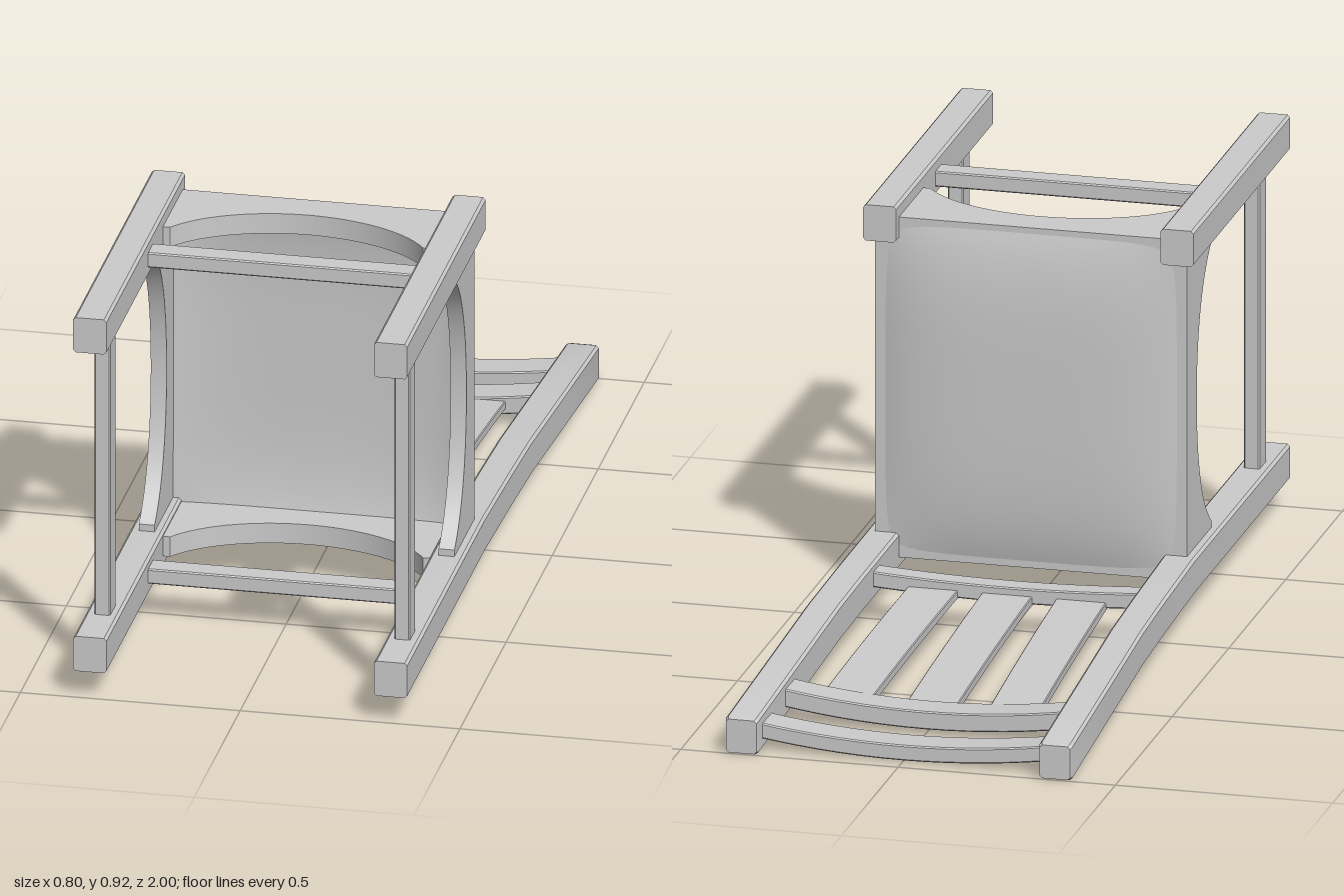
import * as THREE from 'three';
import { toCreasedNormals } from 'three/addons/utils/BufferGeometryUtils.js';

const material = new THREE.MeshStandardMaterial({ color: 0xcccccc });

// Chamfered bar swept along an axis; stations are [x, y, z, sizeU, sizeV], rising along the axis.
// u, v are y,z for 'x'; z,x for 'y'; x,y for 'z'.
function bar(axis, stations, bevel = 0.006) {
  const w = { x: 0, y: 1, z: 2 }[axis], u = (w + 1) % 3, v = (w + 2) % 3;
  const n = 8, pos = [], idx = [];
  for (const s of stations) {
    const a = s[3] / 2, b = s[4] / 2, c = bevel;
    const ring = [[a, c - b], [a, b - c], [a - c, b], [c - a, b], [-a, b - c], [-a, c - b], [c - a, -b], [a - c, -b]];
    for (const [du, dv] of ring) {
      const p = s.slice(0, 3);
      p[u] += du;
      p[v] += dv;
      pos.push(...p);
    }
  }
  for (let i = 0; i < stations.length - 1; i++) {
    for (let j = 0; j < n; j++) {
      const a = i * n + j, b = i * n + (j + 1) % n;
      idx.push(a, b, b + n, a, b + n, a + n);
    }
  }
  const e = (stations.length - 1) * n;
  for (let j = 1; j < n - 1; j++) idx.push(0, j + 1, j, e, e + j, e + j + 1);
  const g = new THREE.BufferGeometry();
  g.setAttribute('position', new THREE.Float32BufferAttribute(pos, 3));
  g.setIndex(idx);
  return toCreasedNormals(g, 0.35);
}

// Rail across the back, bowed towards -y in the middle
function bowedRail(z, halfLength, yEnd, sag, height, depth, taper = 0) {
  const stations = [];
  for (let i = 0; i <= 14; i++) {
    const t = i / 7 - 1;
    stations.push([t * halfLength, yEnd - sag * (1 - t * t), z, height, depth - taper * t * t]);
  }
  return bar('x', stations, 0.003);
}

// Arched apron lying in local x (span) and z, thickness running towards -y
function apron(half, thickness) {
  const s = new THREE.Shape();
  s.moveTo(-half, 0.172);
  s.lineTo(half, 0.172);
  s.lineTo(half, 0.387);
  s.lineTo(half - 0.02, 0.387);
  s.bezierCurveTo(half - 0.08, 0.30, half - 0.2, 0.257, 0, 0.257);
  s.bezierCurveTo(0.2 - half, 0.257, 0.08 - half, 0.30, 0.02 - half, 0.387);
  s.lineTo(-half, 0.387);
  const g = new THREE.ExtrudeGeometry(s, { depth: thickness, bevelEnabled: false, curveSegments: 16 });
  return toCreasedNormals(g.rotateX(Math.PI / 2), 0.5);
}

// Thin seat panel, domed towards -z
function seatPanel() {
  const w = 0.69, h = 0.79;
  const g = new THREE.BoxGeometry(w, h, 0.016, 28, 28, 1);
  const p = g.attributes.position;
  for (let i = 0; i < p.count; i++) {
    const u = p.getX(i) / (w / 2), v = p.getY(i) / (h / 2);
    p.setZ(i, p.getZ(i) + 0.183 - 0.03 * (1 - u ** 4) * (1 - v ** 4));
  }
  g.translate(0, 0.495, 0);
  g.computeVertexNormals();
  return g;
}

export function createModel() {
  const chair = new THREE.Group();
  chair.name = 'chairLyingOnItsBack';
  const add = (name, geometry) => {
    const mesh = new THREE.Mesh(geometry, material);
    mesh.name = name;
    chair.add(mesh);
    return mesh;
  };

  for (const s of [1, -1]) {
    const side = s > 0 ? 'left' : 'right';
    // Legs
    add(side + 'FrontLeg', bar('z', [[s * 0.342, 0.882, 0.148, 0.076, 0.084], [s * 0.342, 0.882, 1, 0.076, 0.084]]));
    add(side + 'BackPost', bar('z', [
      [s * 0.361, 0.046, -1, 0.07, 0.078],
      [s * 0.361, 0.0465, -0.99, 0.076, 0.084],
      [s * 0.355, 0.072, -0.65, 0.076, 0.083],
      [s * 0.349, 0.097, -0.32, 0.076, 0.083],
      [s * 0.346, 0.104, -0.12, 0.076, 0.083],
      [s * 0.342, 0.110, 0.16, 0.076, 0.084],
      [s * 0.342, 0.110, 1, 0.076, 0.084]]));
    // Side stretcher and apron
    add(side + 'Stretcher', bar('y', [[s * 0.341, 0.13, 0.84, 0.06, 0.036], [s * 0.341, 0.86, 0.84, 0.06, 0.036]], 0.003));
    const sideApron = add(side + 'Apron', apron(0.347, 0.036).rotateZ(Math.PI / 2));
    sideApron.position.set(s * 0.341 - 0.018, 0.495, 0);
  }

  // Cross stretchers and aprons
  for (const [name, y, top] of [['front', 0.879, 0.893], ['back', 0.113, 0.143]]) {
    add(name + 'Stretcher', bar('x', [[-0.32, y, 0.52, 0.036, 0.056], [0.32, y, 0.52, 0.036, 0.056]], 0.003));
    add(name + 'Apron', apron(0.308, 0.048)).position.y = top;
  }

  add('seat', seatPanel());

  // Back rails
  add('topRail', bowedRail(-0.92, 0.34, 0.052, 0.027, 0.036, 0.08));
  add('middleRail', bowedRail(-0.73, 0.335, 0.068, 0.028, 0.042, 0.08));
  add('lowerRail', bowedRail(-0.015, 0.325, 0.112, 0.012, 0.036, 0.054));

  // Fanned back slats
  for (const [name, xTop, xBottom, rise] of [['left', 0.192, 0.17, 0.007], ['middle', 0, 0, 0], ['right', -0.192, -0.17, 0.007]]) {
    const stations = [];
    for (let i = 0; i <= 6; i++) {
      const t = i / 6;
      const y = 0.048 + 0.044 * t + 0.016 * t * (1 - t) + rise * (1 - t);
      stations.push([xTop + (xBottom - xTop) * t, y, -0.71 + 0.69 * t, 0.115, 0.02]);
    }
    add(name + 'Slat', bar('z', stations, 0.002));
  }
  return chair;
}
